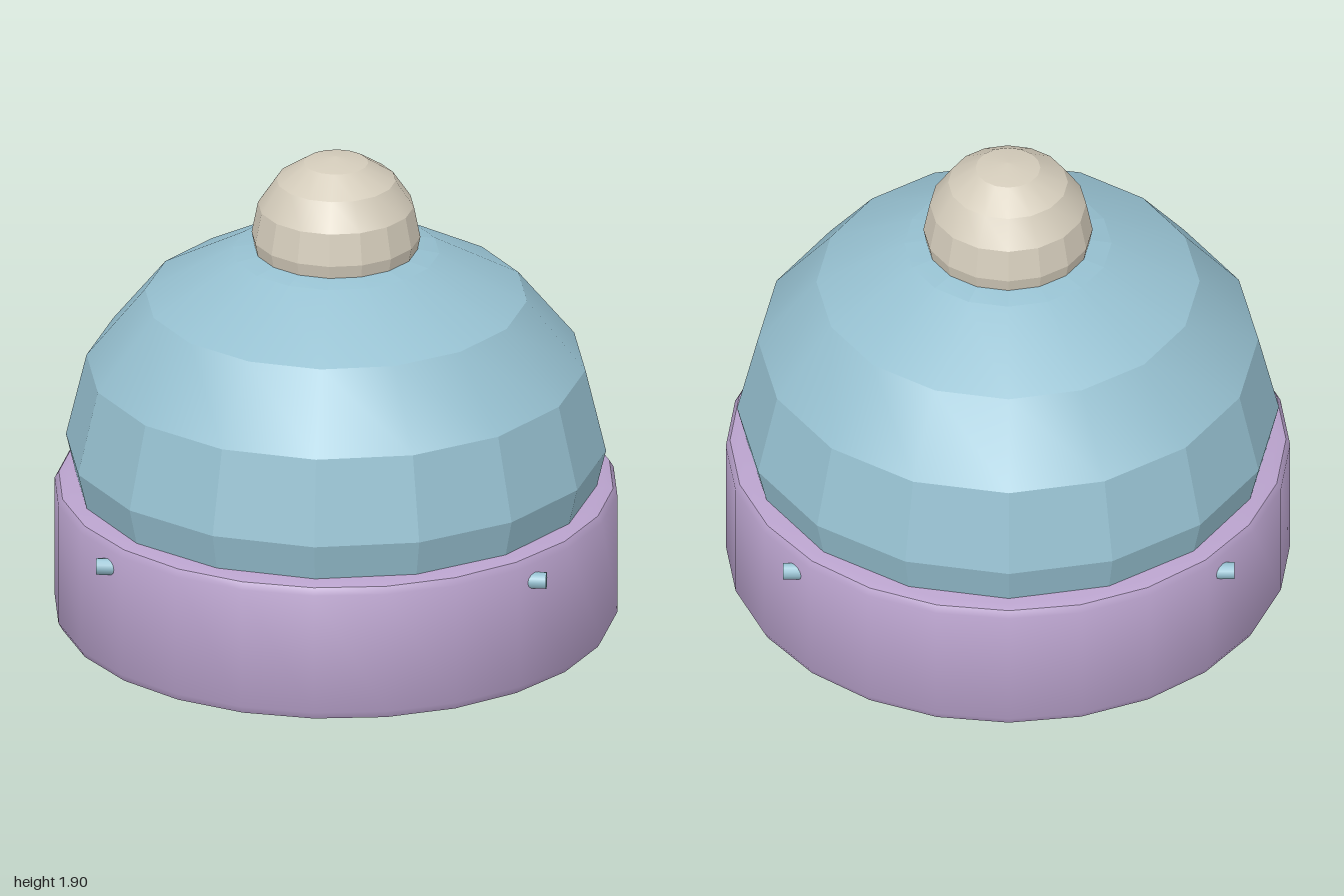
import * as THREE from 'three';
import { toCreasedNormals } from 'three/addons/utils/BufferGeometryUtils.js';

const blue = new THREE.MeshStandardMaterial({ name: 'dusty blue', color: 0x96c0d0 });
const lilac = new THREE.MeshStandardMaterial({ name: 'lilac', color: 0xb9a2cc });
const cream = new THREE.MeshStandardMaterial({ name: 'cream', color: 0xd3cbba });

export function createModel() {
  const model = new THREE.Group();
  model.name = 'bobbleDome';

  const add = (name, geometry, material, crease = 0.36) => {
    const mesh = new THREE.Mesh(toCreasedNormals(geometry, crease), material);
    mesh.name = name;
    model.add(mesh);
    return mesh;
  };

  // Slightly squashed main body
  const body = new THREE.SphereGeometry(0.96, 16, 8).scale(1, 0.8 / 0.96, 1);
  add('body', body, blue).position.y = 0.8;

  // Ball on top
  add('topBall', new THREE.SphereGeometry(0.3, 16, 8), cream).position.y = 1.6;

  // Wide solid band with bevelled rims
  const profile = [
    [0, 0.145], [0.955, 0.145], [0.985, 0.152], [1, 0.18],
    [1, 0.63], [0.985, 0.655], [0.955, 0.665], [0, 0.665],
  ].map(([r, y]) => new THREE.Vector2(r, y));
  add('band', new THREE.LatheGeometry(profile, 24), lilac, 0.6);

  // Two crosswise pins whose ends poke out of the band
  for (const z of [-0.64, 0.64]) {
    const pin = new THREE.CylinderGeometry(0.03, 0.03, 1.6, 12).rotateZ(Math.PI / 2);
    add(z > 0 ? 'frontPin' : 'backPin', pin, blue, 0.7).position.set(0, 0.565, z);
  }

  return model;
}
